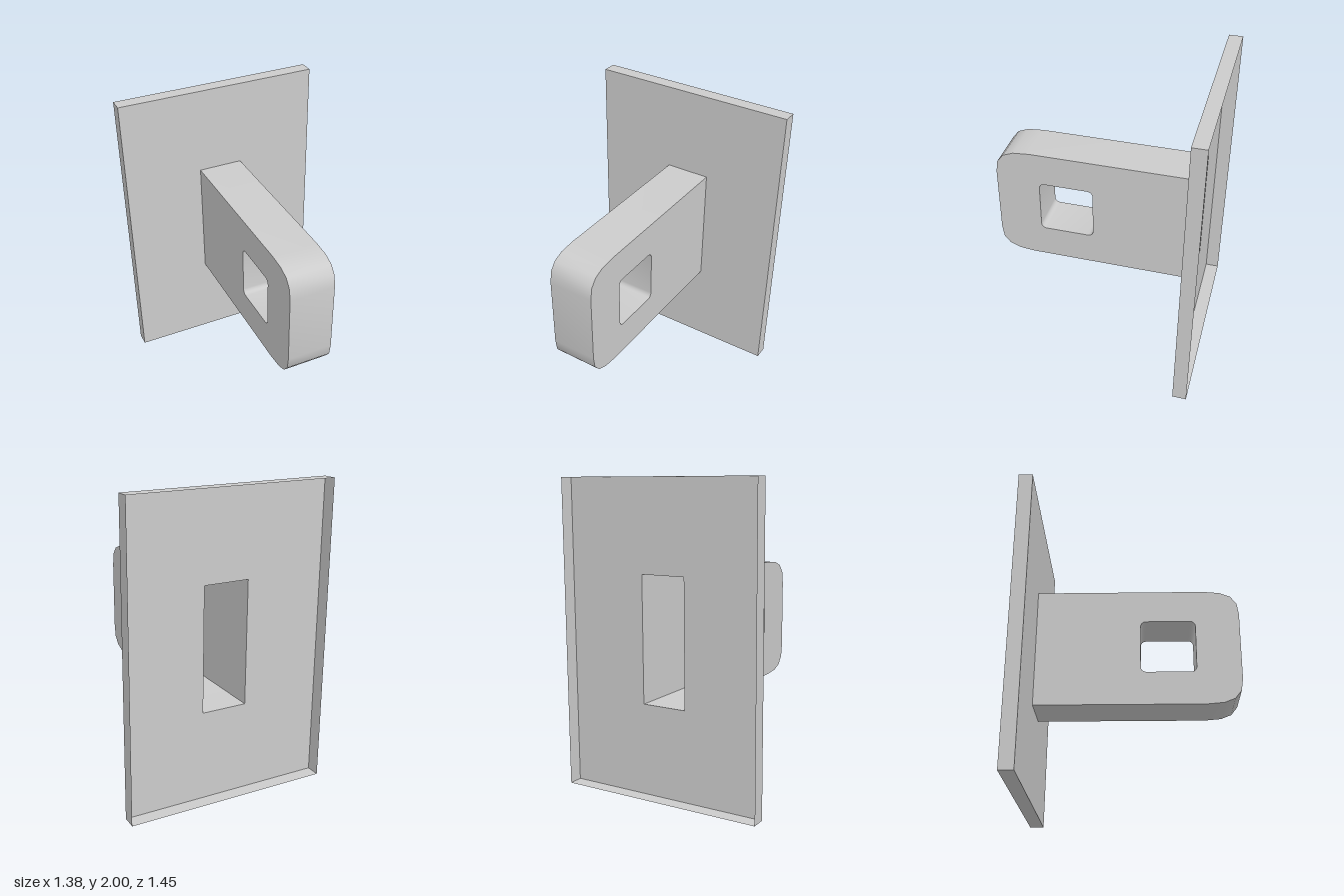
import * as THREE from 'three';
import { toCreasedNormals } from 'three/addons/utils/BufferGeometryUtils.js';

const material = new THREE.MeshStandardMaterial({ color: 0xcccccc, side: THREE.DoubleSide });
const V = (x, y) => new THREE.Vector2(x, y);

// Flat sheet with one opening, in the XY plane at depth z
function sheet(name, outline, hole, z) {
  const shape = new THREE.Shape(outline);
  shape.holes.push(new THREE.Path(hole));
  const mesh = new THREE.Mesh(new THREE.ShapeGeometry(shape), material);
  mesh.position.z = z;
  mesh.name = name;
  return mesh;
}

// Thin wall following a counter-clockwise outline from depth z0 to z1
function wall(name, points, z0, z1, closed = true) {
  const pos = [];
  const count = closed ? points.length : points.length - 1;
  for (let i = 0; i < count; i++) {
    const a = points[i], b = points[(i + 1) % points.length];
    pos.push(a.x, a.y, z0, b.x, b.y, z0, b.x, b.y, z1);
    pos.push(a.x, a.y, z0, b.x, b.y, z1, a.x, a.y, z1);
  }
  const geometry = new THREE.BufferGeometry();
  geometry.setAttribute('position', new THREE.Float32BufferAttribute(pos, 3));
  const mesh = new THREE.Mesh(toCreasedNormals(geometry, 0.7), material);
  mesh.name = name;
  return mesh;
}

const rectangle = (x0, x1, y0, y1) => [V(x0, y0), V(x1, y0), V(x1, y1), V(x0, y1)];

// Rectangle with rounded corners, counter-clockwise
function roundedRectangle(x0, x1, y0, y1, r, steps = 4) {
  const centres = [[x1 - r, y1 - r], [x0 + r, y1 - r], [x0 + r, y0 + r], [x1 - r, y0 + r]];
  return centres.flatMap(([cx, cy], k) => Array.from({ length: steps + 1 }, (_, i) => {
    const t = (k + i / steps) * Math.PI / 2;
    return V(cx + r * Math.cos(t), cy + r * Math.sin(t));
  }));
}

export function createModel() {
  const model = new THREE.Group();
  model.name = 'wallBracket';
  const back = -0.725, face = -0.632, front = 0.725;
  const half = 0.152, low = 0.593, high = 1.412;

  // Back plate: an open-backed tray with an opening into the hollow lug
  const plate = new THREE.Group();
  plate.name = 'backPlate';
  const edge = rectangle(-0.688, 0.688, 0, 2);
  plate.add(
    sheet('plateFace', edge, rectangle(-half, half, low, high), face),
    wall('plateRim', edge, back, face)
  );
  model.add(plate);

  // Lug profile: local x runs towards the front, local y is up
  const corner = [[0.235, 0], [0.125, 0.01], [0.055, 0.038], [0.012, 0.092], [0, 0.175]];
  const top = corner.map(([dx, dy]) => V(front - dx, high - dy)).reverse();
  const bottom = corner.map(([dx, dy]) => V(front - dx, low + dy));
  const profile = [V(face, low), ...bottom, ...top, V(face, high)];
  const eye = roundedRectangle(0.064, 0.43, 0.82, 1.187, 0.035);

  // Hollow lug: two cheeks, an outer wall open at the plate, and the eye lining
  const lug = new THREE.Group();
  lug.name = 'lug';
  lug.add(
    sheet('rightCheek', profile, eye, half),
    wall('lugOuterWall', profile, -half, half, false),
    wall('eyeLining', eye.slice().reverse(), -half, half)
  );
  const leftCheek = sheet('leftCheek', profile, eye, -half);
  // Reverse the corner order so this cheek faces outwards
  leftCheek.geometry.index.array.reverse();
  leftCheek.geometry.computeVertexNormals();
  lug.add(leftCheek);
  lug.rotation.y = -Math.PI / 2;
  model.add(lug);

  return model;
}
